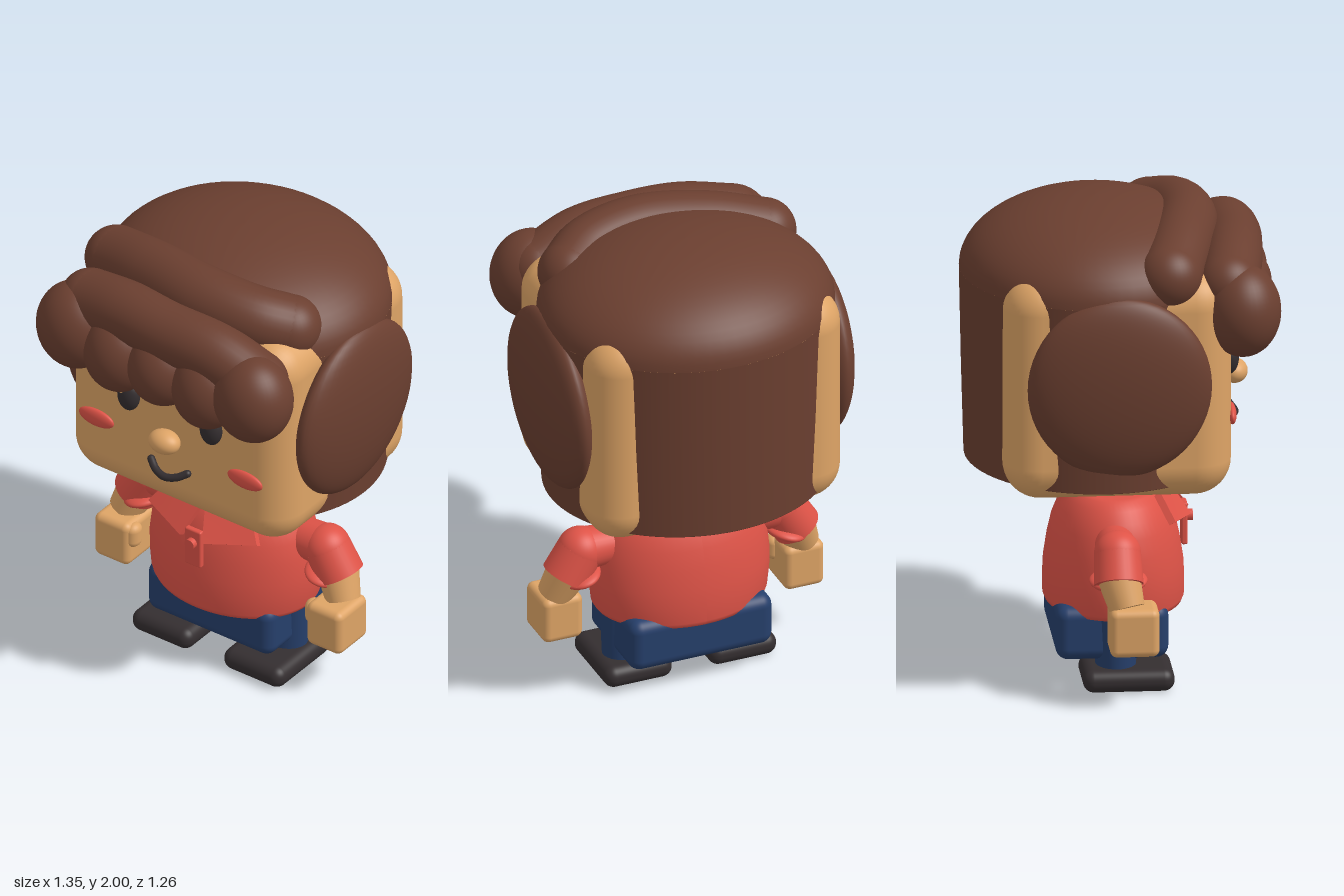
import * as THREE from 'three';
import { RoundedBoxGeometry } from 'three/addons/geometries/RoundedBoxGeometry.js';

const V = (x, y, z) => new THREE.Vector3(x, y, z);

export function createModel() {
  const root = new THREE.Group();
  root.name = 'figure';
  const paint = (name, color) => {
    const m = new THREE.MeshStandardMaterial({ color });
    m.name = name;
    return m;
  };
  const skin = paint('skin', 0xdea466);
  const hair = paint('hairBrown', 0x6b3f30);
  const red = paint('shirtRed', 0xde5347);
  const navy = paint('trouserNavy', 0x263f6b);
  const dark = paint('charcoal', 0x342e30);
  hair.side = THREE.DoubleSide;

  const add = (name, geo, mat, x = 0, y = 0, z = 0) => {
    const m = new THREE.Mesh(geo, mat);
    m.name = name;
    m.position.set(x, y, z);
    root.add(m);
    return m;
  };
  const ellipsoid = (name, mat, [x, y, z], [rx, ry, rz]) => {
    const m = add(name, new THREE.SphereGeometry(1, 40, 28), mat, x, y, z);
    m.scale.set(rx, ry, rz);
    return m;
  };
  // Rounded box given by its extents on each axis
  const block = (name, mat, [x0, x1], [y0, y1], [z0, z1], r) =>
    add(name, new RoundedBoxGeometry(x1 - x0, y1 - y0, z1 - z0, 6, r), mat,
      (x0 + x1) / 2, (y0 + y1) / 2, (z0 + z1) / 2);
  // Tapered cylinder from a (radius ra) down to b (radius rb)
  const limb = (name, mat, a, b, ra, rb) => {
    const m = add(name, new THREE.CylinderGeometry(ra, rb, a.distanceTo(b), 32), mat);
    m.position.copy(a).add(b).multiplyScalar(0.5);
    m.quaternion.setFromUnitVectors(V(0, 1, 0), a.clone().sub(b).normalize());
    return m;
  };
  // Round-ended curved roll
  const roll = (name, mat, pts, r) => {
    add(name, new THREE.TubeGeometry(new THREE.CatmullRomCurve3(pts), 40, r, 28), mat);
    for (const p of [pts[0], pts[pts.length - 1]])
      ellipsoid(name + 'End', mat, [p.x, p.y, p.z], [r, r, r]);
  };
  const lathe = (pts, seg, start, len) =>
    new THREE.LatheGeometry(pts.map(([x, y]) => new THREE.Vector2(x, y)), seg, start, len);

  // Head and neck
  block('head', skin, [-0.55, 0.55], [0.86, 1.81], [-0.49, 0.43], 0.15);
  add('neck', lathe([[0, 0.74], [0.1, 0.75], [0.118, 0.79], [0.118, 0.84], [0.1, 0.88], [0, 0.89]], 32),
    skin, 0, 0, -0.035);

  // Hair: back curtain open over the face, and a dome on top
  const curtain = add('hairBack', lathe([[0.8, 0.92], [0.965, 0.92], [0.966, 0.922], [0.985, 1.3], [1, 1.7]],
    64, Math.PI / 4, Math.PI * 1.5), hair, 0, 0, -0.08);
  const arc = [];
  for (let i = 0; i <= 16; i++) {
    const t = (i / 16) * Math.PI / 2;
    arc.push([Math.cos(t), 1.7 + 0.3 * Math.sin(t)]);
  }
  const dome = add('hairDome', lathe(arc, 64, Math.PI, Math.PI * 2), hair, 0, 0, -0.08);
  for (const m of [curtain, dome]) m.scale.set(0.61, 1, 0.55);
  for (const s of [-1, 1])
    ellipsoid('hairSide', hair, [s * 0.57, 1.362, -0.032], [0.102, 0.383, 0.372]).rotation.z = -s * 0.04;

  // Two swept rolls above the forehead
  roll('hairUpperSweep', hair,
    [V(-0.455, 1.79, 0.18), V(-0.22, 1.845, 0.24), V(0.05, 1.865, 0.285), V(0.28, 1.84, 0.25), V(0.4, 1.8, 0.17)], 0.13);
  roll('hairLowerSweep', hair,
    [V(-0.41, 1.74, 0.42), V(-0.2, 1.78, 0.45), V(0.02, 1.78, 0.465), V(0.24, 1.765, 0.455), V(0.43, 1.69, 0.43)], 0.125);

  // Fringe of five round locks
  for (const [x, y, rx, ry] of [[-0.44, 1.635, 0.168, 0.19], [-0.22, 1.6, 0.15, 0.18], [0, 1.61, 0.15, 0.165],
    [0.22, 1.6, 0.15, 0.18], [0.44, 1.635, 0.168, 0.19]])
    ellipsoid('fringeLock', hair, [x, y, 0.475], [rx, ry, 0.155]);

  // Face
  for (const s of [-1, 1]) {
    ellipsoid('eye', dark, [s * 0.205, 1.365, 0.44], [0.05, 0.072, 0.04]);
    ellipsoid('eyeGlint', skin, [s * 0.205 - 0.014, 1.4, 0.472], [0.012, 0.015, 0.01]);
    ellipsoid('cheek', red, [s * 0.37, 1.18, 0.435], [0.086, 0.04, 0.02]);
  }
  ellipsoid('nose', skin, [0, 1.24, 0.478], [0.07, 0.05, 0.055]);
  roll('mouth', dark,
    [V(-0.09, 1.1, 0.445), V(-0.05, 1.078, 0.468), V(0, 1.069, 0.48), V(0.05, 1.078, 0.468), V(0.09, 1.1, 0.445)], 0.016);

  // Shirt: lathe flattened in depth, more so toward the top
  const shirt = lathe([[0, 0.3], [0.335, 0.3], [0.355, 0.305], [0.367, 0.325], [0.376, 0.4], [0.379, 0.47], [0.37, 0.56],
    [0.353, 0.64], [0.325, 0.7], [0.29, 0.745], [0.255, 0.773], [0.23, 0.78], [0, 0.782]], 56, Math.PI, Math.PI * 2);
  const sp = shirt.attributes.position;
  for (let i = 0; i < sp.count; i++) sp.setZ(i, sp.getZ(i) * (0.78 - 0.22 * (sp.getY(i) - 0.3)));
  shirt.computeVertexNormals();
  add('shirt', shirt, red, 0, 0, -0.01);

  // Collar flaps: a box mapped onto four corners
  const flap = (s) => {
    const inner = [V(s * 0.055, 0.65, 0.275), V(s * 0.01, 0.775, 0.19)];
    const outer = [V(s * 0.27, 0.685, 0.195), V(s * 0.2, 0.787, 0.14)];
    const [l, r] = s > 0 ? [inner, outer] : [outer, inner];
    const g = new THREE.BoxGeometry(1, 1, 1, 4, 4, 1);
    const p = g.attributes.position;
    for (let i = 0; i < p.count; i++) {
      const u = p.getX(i) + 0.5, v = p.getY(i) + 0.5, w = p.getZ(i);
      const q = l[0].clone().lerp(l[1], v).lerp(r[0].clone().lerp(r[1], v), u);
      p.setXYZ(i, q.x, q.y + w * 0.015, q.z + 0.012 + w * 0.025);
    }
    g.computeVertexNormals();
    add('collarFlap', g, red);
  };
  flap(1);
  flap(-1);
  block('placket', red, [-0.04, 0.04], [0.52, 0.695], [0.262, 0.288], 0.008);
  const button = add('button', new THREE.CylinderGeometry(0.023, 0.023, 0.025, 24), red, 0, 0.635, 0.298);
  button.rotation.x = Math.PI / 2;

  // Trousers
  block('hips', navy, [-0.312, 0.312], [0.125, 0.35], [-0.265, 0.19], 0.05);

  for (const s of [-1, 1]) {
    // Legs and shoes
    limb('leg', navy, V(s * 0.235, 0.32, -0.02), V(s * 0.235, 0.08, -0.02), 0.11, 0.1).scale.z = 0.82;
    block('shoe', dark, [s * 0.228 - 0.148, s * 0.228 + 0.148], [0.003, 0.097], [-0.16, 0.21], 0.045);

    // Arms
    const shoulder = V(s * 0.44, 0.62, -0.03), elbow = V(s * 0.505, 0.51, -0.03);
    ellipsoid('shoulder', red, shoulder.toArray(), [0.095, 0.095, 0.095]);
    limb('sleeve', red, shoulder, elbow, 0.095, 0.1);
    limb('sleeveRoot', red, V(s * 0.3, 0.62, -0.03), shoulder, 0.08, 0.09);
    limb('forearm', skin, V(s * 0.49, 0.54, -0.03), V(s * 0.54, 0.42, 0), 0.088, 0.072);
    ellipsoid('cuff', red, [s * 0.45, 0.512, -0.028], [0.09, 0.032, 0.118]).rotation.z = -s * 0.25;

    // Hands
    block('hand', skin, [s * 0.528 - 0.087, s * 0.528 + 0.087], [0.23, 0.43], [-0.073, 0.127], 0.03);
    const thumb = add('thumb', new THREE.CapsuleGeometry(0.032, 0.045, 8, 20), skin, s * 0.448, 0.368, 0.075);
    thumb.scale.z = 1.2;
  }
  return root;
}
